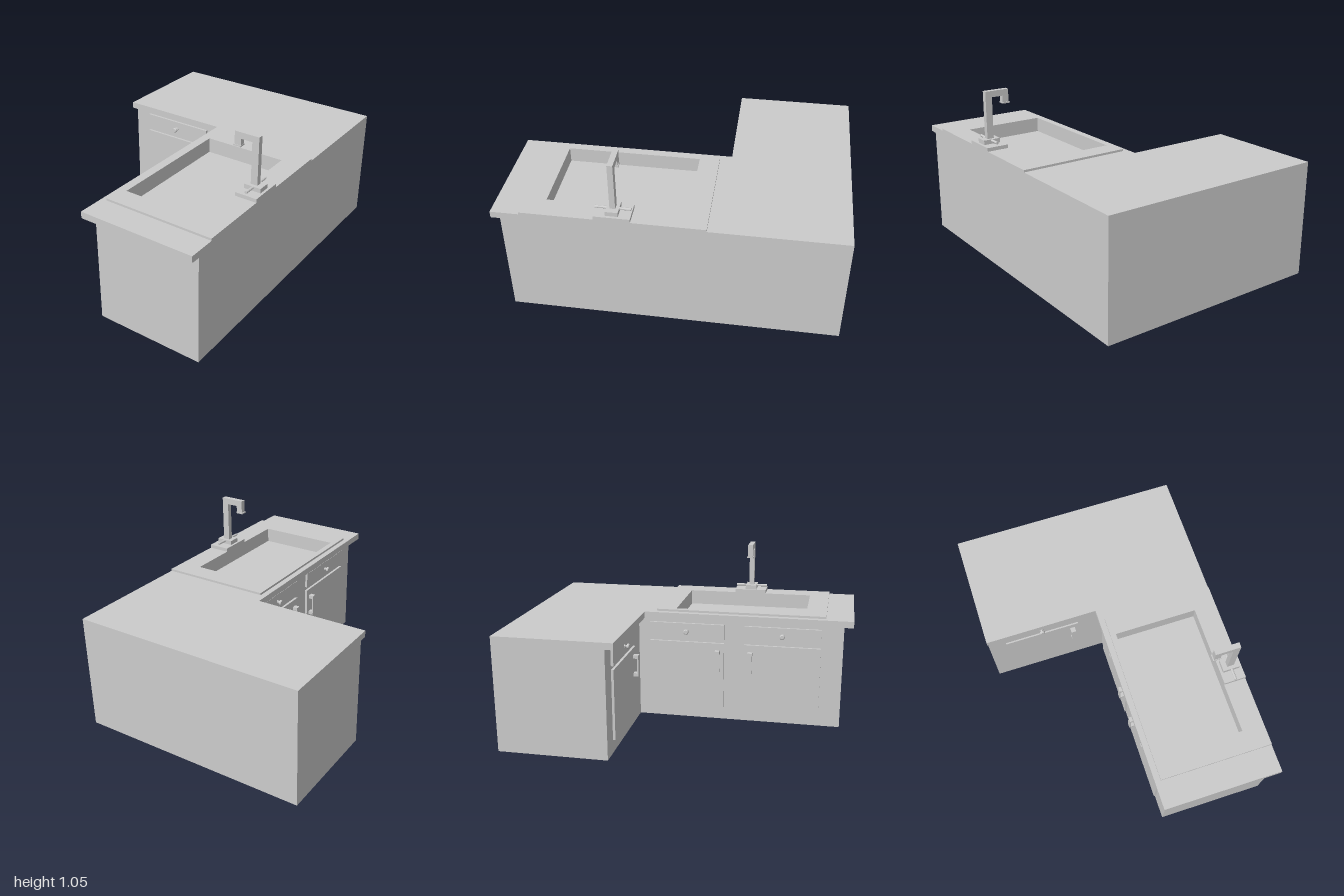
import * as THREE from 'three';

const material = new THREE.MeshStandardMaterial({ color: 0xcccccc, flatShading: true });

function add(parent, name, geometry, x = 0, y = 0, z = 0) {
  const mesh = new THREE.Mesh(geometry, material);
  mesh.name = name;
  mesh.position.set(x, y, z);
  parent.add(mesh);
  return mesh;
}

// Box given by its lower and upper corners
function box(parent, name, [x0, y0, z0], [x1, y1, z1]) {
  return add(parent, name, new THREE.BoxGeometry(x1 - x0, y1 - y0, z1 - z0),
    (x0 + x1) / 2, (y0 + y1) / 2, (z0 + z1) / 2);
}

// Horizontal slab from a plan outline of [x, z] points, with an optional hole
function slab(parent, name, outline, y0, y1, hole) {
  const points = list => list.map(([x, z]) => new THREE.Vector2(x, -z));
  const shape = new THREE.Shape(points(outline));
  if (hole) shape.holes.push(new THREE.Path(points(hole)));
  const geometry = new THREE.ExtrudeGeometry(shape, { depth: y1 - y0, bevelEnabled: false });
  geometry.rotateX(-Math.PI / 2);
  return add(parent, name, geometry, 0, y0, 0);
}

const rect = (x0, z0, x1, z1) => [[x0, z0], [x0, z1], [x1, z1], [x1, z0]];

// L-shaped plan: inner corner at (x, z), long wing ending at zEnd
const ell = (x, z, zEnd) =>
  [[-0.705, -1], [-0.705, z], [x, z], [x, zEnd], [0.705, zEnd], [0.705, -1]];

// Drawer over door, facing +z; side picks where the door handle sits
function cupboardFront(side) {
  const unit = new THREE.Group();
  unit.name = 'cupboardFront';
  const w = 0.2375, t = 0.015;
  box(unit, 'drawerFront', [-w, 0.53, 0], [w, 0.627, t]);
  box(unit, 'door', [-w, 0.08, 0], [w, 0.507, t]);

  // Turned drawer knob
  const profile = [[0, 0], [0.012, 0], [0.012, 0.004], [0.007, 0.006], [0.007, 0.014],
    [0.016, 0.017], [0.016, 0.026], [0.012, 0.03], [0, 0.03]];
  const knob = add(unit, 'drawerKnob',
    new THREE.LatheGeometry(profile.map(p => new THREE.Vector2(...p)), 16), 0, 0.577, t);
  knob.rotation.x = Math.PI / 2;

  // Bracket door handle
  const handle = new THREE.Group();
  handle.name = 'doorHandle';
  handle.position.set(side * 0.1975, 0, 0);
  box(handle, 'handleBar', [-0.015, 0.325, 0.039], [0.015, 0.463, 0.047]);
  for (const y of [0.325, 0.441]) {
    box(handle, 'handleFoot', [-0.015, y, t], [0.015, y + 0.022, 0.039]);
  }
  unit.add(handle);
  return unit;
}

function createFaucet() {
  const faucet = new THREE.Group();
  faucet.name = 'faucet';
  const z = 0.31;
  box(faucet, 'faucetPlate', [0.57, 0.713, 0.205], [0.705, 0.735, 0.412]);
  box(faucet, 'faucetBase', [0.585, 0.735, z - 0.036], [0.69, 0.762, z + 0.036]);
  for (const s of [-1, 1]) {
    const tap = add(faucet, 'tapLever', new THREE.CylinderGeometry(0.008, 0.008, 0.07, 12),
      0.638, 0.754, z + s * 0.068);
    tap.rotation.x = Math.PI / 2;
  }

  // Square-section column, arm and downspout in one profile
  const spout = new THREE.Shape([[0.615, 0.762], [0.657, 0.762], [0.657, 1.05], [0.505, 1.05],
    [0.505, 0.972], [0.545, 0.972], [0.545, 1.012], [0.615, 1.012]]
    .map(p => new THREE.Vector2(...p)));
  add(faucet, 'spout', new THREE.ExtrudeGeometry(spout, { depth: 0.032, bevelEnabled: false }),
    0, 0, z - 0.016);
  box(faucet, 'nozzle', [0.498, 0.964, z - 0.02], [0.547, 0.972, z + 0.02]);
  return faucet;
}

export function createModel() {
  const model = new THREE.Group();
  model.name = 'cornerKitchenCounter';

  // Cabinet body; the lower block's top is the basin floor
  const basin = rect(0.06, -0.095, 0.57, 0.71);
  const cabinet = ell(0.04, -0.335, 0.945);
  slab(model, 'cabinetBody', cabinet, 0, 0.62);
  slab(model, 'cabinetTop', cabinet, 0.62, 0.66, basin);

  // Overhanging worktop and raised sink rim
  slab(model, 'worktop', ell(-0.01, -0.285, 1), 0.66, 0.7, basin);
  slab(model, 'sinkRim', rect(0.025, -0.215, 0.705, 0.835), 0.7, 0.713, basin);

  // One cupboard on the short wing, a pair on the long wing
  const short = cupboardFront(1);
  short.position.set(-0.3575, 0, -0.335);
  model.add(short);
  for (const [z, side] of [[-0.025, 1], [0.575, -1]]) {
    const unit = cupboardFront(side);
    unit.position.set(0.04, 0, z);
    unit.rotation.y = -Math.PI / 2;
    model.add(unit);
  }

  model.add(createFaucet());
  return model;
}
